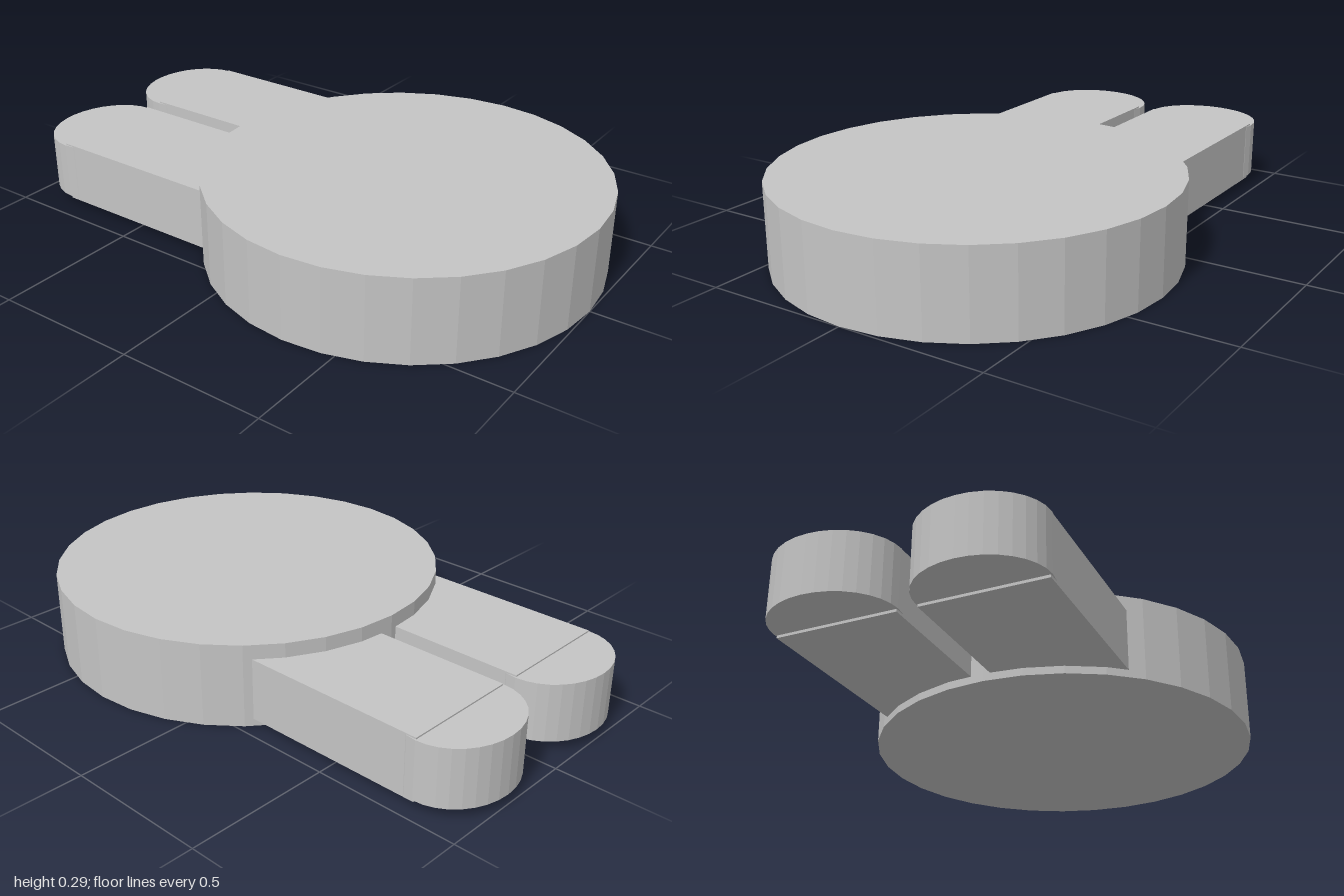
import * as THREE from 'three';

export function createModel() {
  const group = new THREE.Group();
  const grey = new THREE.MeshStandardMaterial({ color: 0xc4c4c4, flatShading: true });
  grey.name = 'plain grey';

  const add = (name, geometry, x, y, z) => {
    const mesh = new THREE.Mesh(geometry, grey);
    mesh.name = name;
    mesh.position.set(x, y, z);
    group.add(mesh);
    return mesh;
  };

  // Large round body
  add('disc', new THREE.CylinderGeometry(0.675, 0.675, 0.29, 32), 0.325, 0.145, 0);

  // Two prongs, each a straight bar ending in a slightly thinner oval tip
  for (const [side, z] of [['back', -0.25], ['front', 0.228]]) {
    add(side + 'ProngBar', new THREE.BoxGeometry(0.82, 0.214, 0.41), -0.41, 0.133, z);
    const tip = add(side + 'ProngTip', new THREE.CylinderGeometry(1, 1, 0.2, 32), -0.82, 0.135, z);
    tip.scale.set(0.18, 1, 0.21);
  }
  return group;
}
